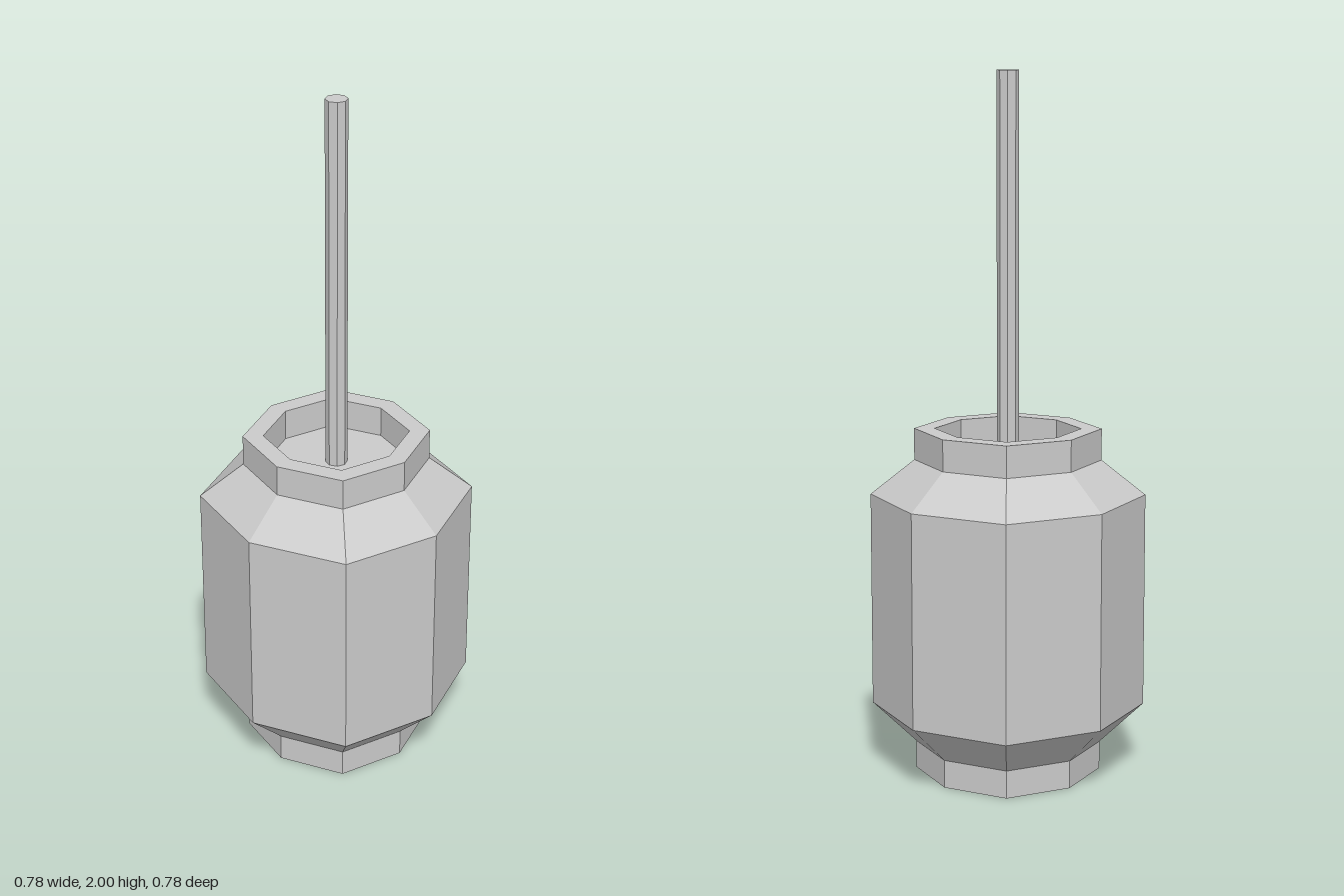
import * as THREE from 'three';

const SIDES = 8;
const DIAGONAL = 0.942; // diagonal corners sit slightly closer to the axis

export function createModel() {
  const group = new THREE.Group();
  const material = new THREE.MeshStandardMaterial({ color: 0xcccccc, flatShading: true });

  // Hollow-ended canister: bottom recess, foot ring, body, neck ring, top recess
  const profile = [
    [0, 0.08], [0.207, 0.08], [0.207, 0], [0.265, 0], [0.265, 0.08],
    [0.39, 0.195], [0.39, 0.81],
    [0.265, 0.91], [0.265, 1], [0.207, 1], [0.207, 0.91], [0, 0.91],
  ].map(([r, y]) => new THREE.Vector2(r, y));
  const bodyGeometry = new THREE.LatheGeometry(profile, SIDES);

  // Pull every second corner inward
  const pos = bodyGeometry.attributes.position;
  for (let i = 0; i < pos.count; i++) {
    const x = pos.getX(i), z = pos.getZ(i);
    if (Math.abs(x) > 0.01 && Math.abs(z) > 0.01) pos.setXYZ(i, x * DIAGONAL, pos.getY(i), z * DIAGONAL);
  }
  bodyGeometry.computeVertexNormals();
  const body = new THREE.Mesh(bodyGeometry, material);
  body.name = 'body';
  group.add(body);

  // Rod rising from the floor of the top recess
  const rodBottom = 0.91, rodTop = 2;
  const rod = new THREE.Mesh(
    new THREE.CylinderGeometry(0.031, 0.031, rodTop - rodBottom, SIDES), material);
  rod.position.y = (rodBottom + rodTop) / 2;
  rod.name = 'rod';
  group.add(rod);

  return group;
}
